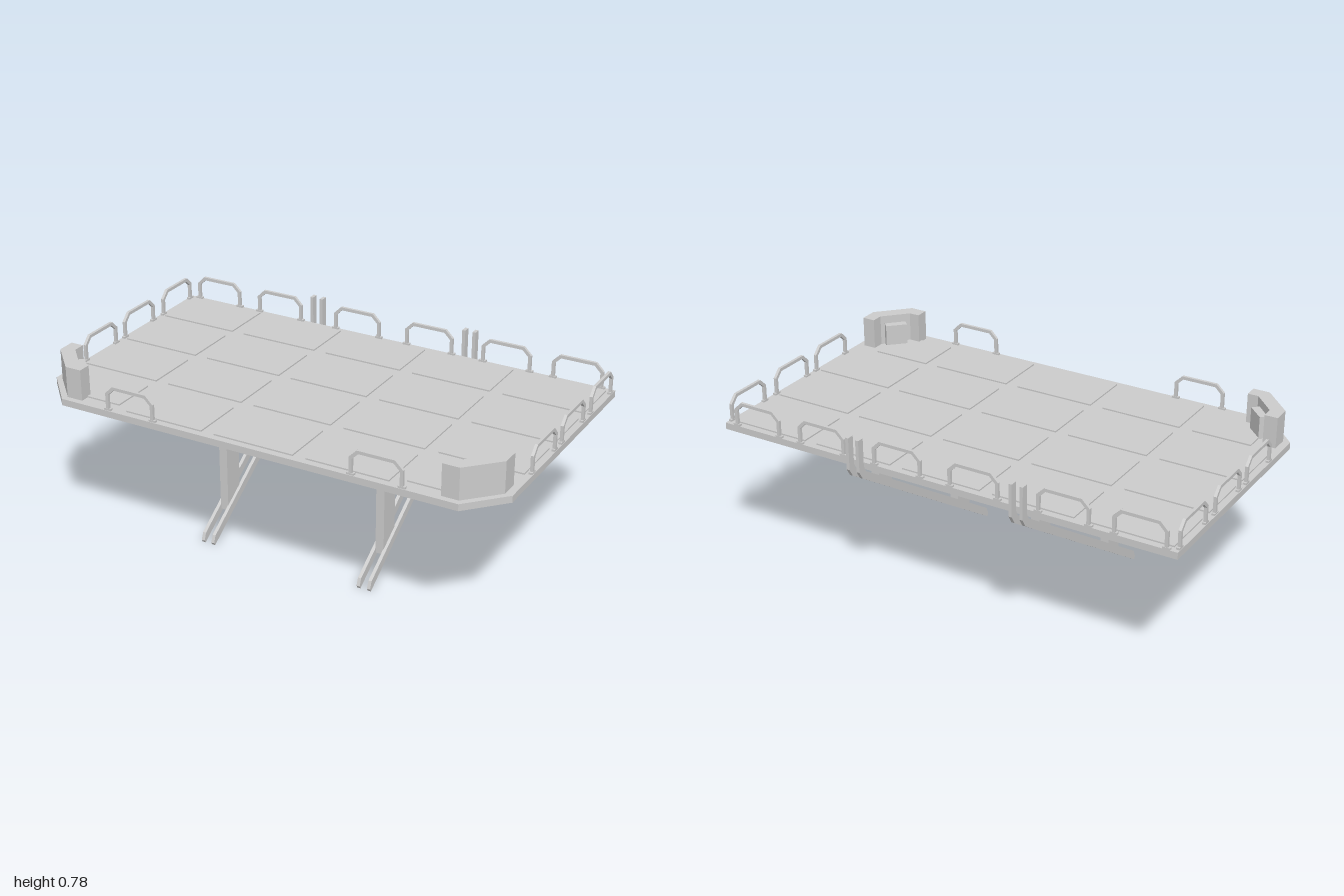
import * as THREE from 'three';

const grey = new THREE.MeshStandardMaterial({ color: 0xcccccc, flatShading: true });

function mesh(name, geometry, parent) {
  const m = new THREE.Mesh(geometry, grey);
  m.name = name;
  parent.add(m);
  return m;
}

const toShape = (pts) => new THREE.Shape(pts.map(([a, b]) => new THREE.Vector2(a, b)));
const extrude = (shape, depth) => new THREE.ExtrudeGeometry(shape, { depth, bevelEnabled: false });

// Outline in plan (x, z), filled between two heights
function planSolid(shape, y0, y1) {
  return extrude(shape, y1 - y0).rotateX(Math.PI / 2).translate(0, y1, 0);
}

// Outline in side elevation (z, y), centred on x with the given width
function sideSolid(pts, width, x = 0) {
  return extrude(toShape(pts), width).translate(0, 0, -width / 2).rotateY(-Math.PI / 2).translate(x, 0, 0);
}

const BACK = -0.55, FRONT = 0.59, TOP = 0.65, BOTTOM = 0.622;
const COLS = 5, ROWS = 4;

// Inner bounds of every deck cell, pulled in at the chamfered corners
function deckCells(gap) {
  const cells = [];
  const dx = 2 / COLS, dz = (FRONT - BACK) / ROWS;
  for (let i = 0; i < COLS; i++) {
    for (let j = 0; j < ROWS; j++) {
      let x0 = -1 + i * dx + gap, x1 = -1 + (i + 1) * dx - gap;
      const z0 = BACK + j * dz + gap;
      let z1 = BACK + (j + 1) * dz - gap;
      if (j === ROWS - 1 && (i === 0 || i === COLS - 1)) {
        if (i === 0) x0 = -0.88; else x1 = 0.88;
        z1 = 0.53;
      }
      cells.push({ x0, x1, z0, z1 });
    }
  }
  return cells;
}

function buildDeck(root) {
  const deck = new THREE.Group();
  deck.name = 'deck';
  root.add(deck);
  const outline = () => toShape([[-1, BACK], [1, BACK], [1, 0.44], [0.86, FRONT], [-0.86, FRONT], [-1, 0.44]]);

  // Underside lattice: each cell has two triangular pockets split by a diagonal bar
  const lattice = outline();
  for (const { x0, x1, z0, z1 } of deckCells(0.03)) {
    const a = 0.035, b = 0.025;
    for (const tri of [
      [[x0 + a, z0], [x1, z0], [x1, z1 - b]],
      [[x0, z0 + b], [x1 - a, z1], [x0, z1]],
    ]) lattice.holes.push(new THREE.Path(tri.map(([x, z]) => new THREE.Vector2(x, z))));
  }
  mesh('deckLattice', planSolid(lattice, BOTTOM, 0.642), deck);
  mesh('deckPlate', planSolid(outline(), 0.642, TOP), deck);

  // Raised floor panels
  for (const { x0, x1, z0, z1 } of deckCells(0.028)) {
    mesh('floorPanel', new THREE.BoxGeometry(x1 - x0, 0.006, z1 - z0)
      .translate((x0 + x1) / 2, TOP + 0.003, (z0 + z1) / 2), deck);
  }
}

// Bent hoop handrail, standing on two small feet
function railGeometry() {
  const w = 0.11, h = 0.105, c = 0.033, t = 0.013, k = 0.006;
  return extrude(toShape([
    [-w, 0], [-w, h - c], [-w + c, h], [w - c, h], [w, h - c], [w, 0],
    [w - t, 0], [w - t, h - c - k], [w - c - k, h - t], [-w + c + k, h - t], [-w + t, h - c - k], [-w + t, 0],
  ]), 0.012).translate(0, 0, -0.006);
}

function buildRails(root) {
  const hoop = railGeometry();
  const foot = new THREE.BoxGeometry(0.03, 0.008, 0.014);
  const addRail = (x, z, turn) => {
    const rail = new THREE.Group();
    rail.name = 'handrail';
    mesh('railHoop', hoop, rail);
    for (const s of [-1, 1]) mesh('railFoot', foot, rail).position.set(s * 0.104, 0.004, 0);
    rail.position.set(x, TOP, z);
    rail.rotation.y = turn;
    root.add(rail);
  };
  for (const x of [-0.85, -0.54, -0.16, 0.18, 0.53, 0.84]) addRail(x, -0.543, 0);
  for (const x of [-0.54, 0.53]) addRail(x, 0.58, 0);
  for (const x of [-0.991, 0.991]) {
    for (const z of [0.147, -0.127, -0.413]) addRail(x, z, Math.PI / 2);
  }
}

// Angled corner guards with a lower block on the inner face
function buildCornerGuards(root) {
  for (const s of [-1, 1]) {
    const mirror = (pts) => toShape(pts.map(([x, z]) => [s * x, z]));
    const guard = new THREE.Group();
    guard.name = s > 0 ? 'leftCornerGuard' : 'rightCornerGuard';
    mesh('guardWall', planSolid(mirror([
      [0.97, 0.365], [0.97, 0.44], [0.85, 0.565], [0.78, 0.565],
      [0.78, 0.51], [0.825, 0.51], [0.915, 0.415], [0.915, 0.365],
    ]), TOP, 0.78), guard);
    mesh('guardBlock', planSolid(mirror([
      [0.91, 0.435], [0.88, 0.405], [0.815, 0.47], [0.845, 0.5],
    ]), TOP, 0.745), guard);
    root.add(guard);
  }
}

function buildBracket(root, x) {
  const bracket = new THREE.Group();
  bracket.name = 'supportBracket';
  bracket.position.x = x;
  root.add(bracket);

  // Twin sloping rails that hook up behind the deck
  const brace = [
    [0.325, 0], [0.332, 0.012], [0.32, 0.043], [-0.55, 0.615], [-0.562, 0.64],
    [-0.562, 0.76], [-0.592, 0.76], [-0.592, 0.625], [-0.572, 0.592],
  ];
  for (const s of [-1, 1]) mesh('slopingRail', sideSolid(brace, 0.014, s * 0.023), bracket);

  // Posts, tie arm and flared heads
  mesh('frontPost', sideSolid([[0.2, 0.098], [0.2, BOTTOM], [0.11, BOTTOM], [0.11, 0.16]], 0.036), bracket);
  mesh('rearPost', sideSolid([[-0.365, 0.475], [-0.365, BOTTOM], [-0.45, BOTTOM], [-0.45, 0.53]], 0.036), bracket);
  mesh('tieArm', sideSolid([[0.12, 0.377], [0.12, 0.417], [-0.375, 0.573], [-0.375, 0.53]], 0.032), bracket);
  for (const z of [0.155, -0.4075]) {
    const head = new THREE.CylinderGeometry(Math.SQRT1_2, Math.SQRT1_2 * 0.76, 0.018, 4)
      .rotateY(Math.PI / 4).scale(0.058, 1, 0.115);
    mesh('postHead', head, bracket).position.set(0, BOTTOM - 0.009, z);
  }
}

export function createModel() {
  const root = new THREE.Group();
  root.name = 'platform';
  buildDeck(root);
  buildRails(root);
  buildCornerGuards(root);
  for (const x of [-0.37, 0.35]) buildBracket(root, x);
  return root;
}
